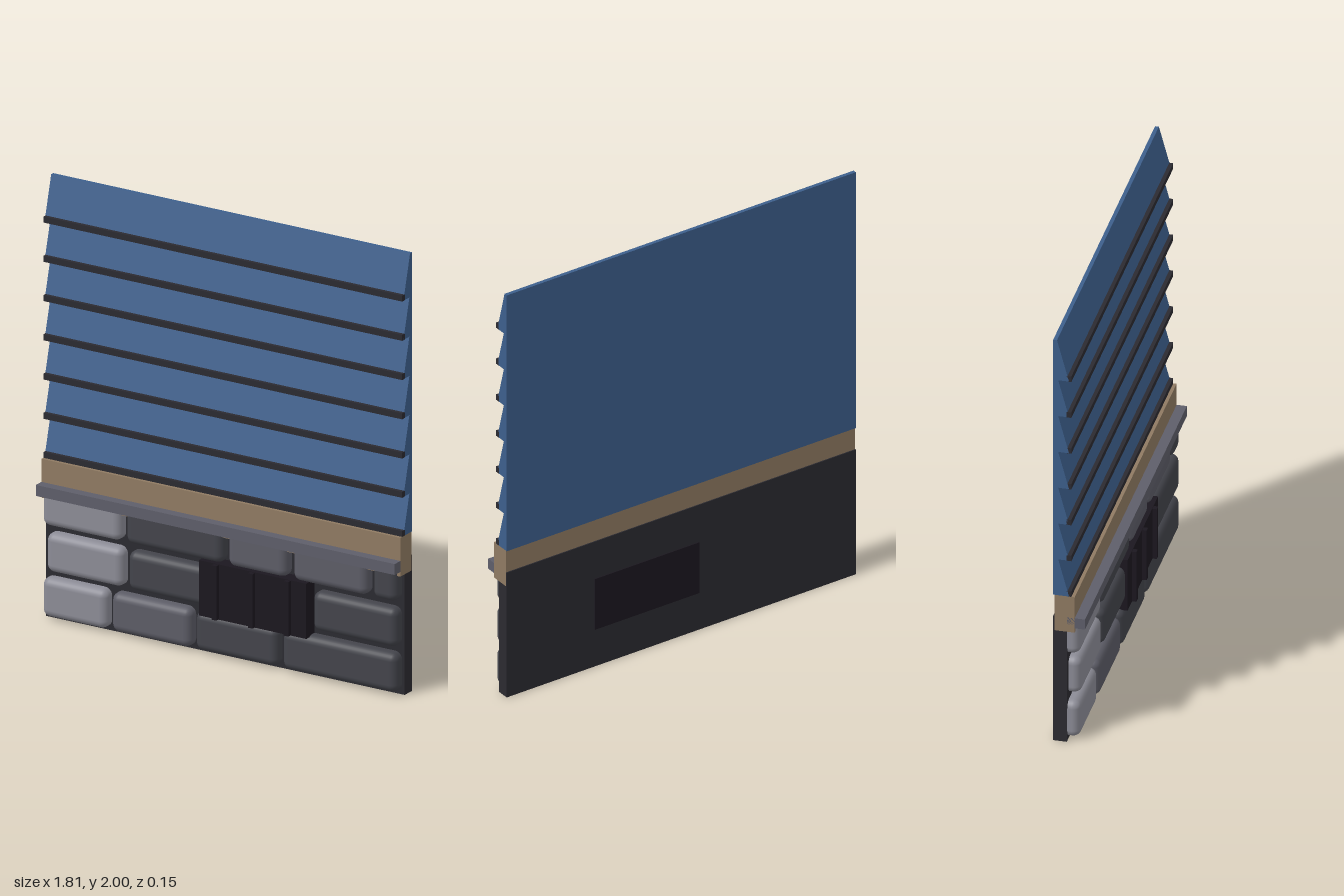
import * as THREE from 'three';
import { RoundedBoxGeometry } from 'three/addons/geometries/RoundedBoxGeometry.js';

const WIDTH = 1.81;

function paint(color) {
  const material = new THREE.MeshStandardMaterial();
  material.color.set(color);
  return material;
}

const blue = paint(0x3d5f8c);
const dark = paint(0x2b2a30);
const tan = paint(0x8f7a62);
const ledgeGrey = paint(0x5e5e6a);
const black = paint(0x1b171f);
const stoneShades = { light: paint(0x8c8c96), mid: paint(0x5c5c66), dark: paint(0x43444b) };

export function createModel() {
  const model = new THREE.Group();

  function add(parent, name, geometry, material) {
    const mesh = new THREE.Mesh(geometry, material);
    mesh.name = name;
    parent.add(mesh);
    return mesh;
  }

  // Box given by its limits on each axis
  function box(parent, name, material, [x0, x1], [y0, y1], [z0, z1]) {
    const mesh = add(parent, name, new THREE.BoxGeometry(x1 - x0, y1 - y0, z1 - z0), material);
    mesh.position.set((x0 + x1) / 2, (y0 + y1) / 2, (z0 + z1) / 2);
    return mesh;
  }

  const full = [-WIDTH / 2, WIDTH / 2];

  // Lap siding: a saw-tooth profile (shape x is -z) swept across the wall
  const boards = 7, first = 0.727, pitch = 0.179, top = 2;
  const backZ = -0.07, topZ = -0.053, lap = top - first - pitch * (boards - 1);
  const profile = new THREE.Shape();
  profile.moveTo(-backZ, first);
  for (let i = 0; i < boards; i++) {
    const y = first + i * pitch;
    const rise = i === boards - 1 ? lap : pitch;
    profile.lineTo(0, y);
    profile.lineTo(-topZ * rise / lap, y + rise);
  }
  profile.lineTo(-backZ, top);
  const siding = new THREE.ExtrudeGeometry(profile, { depth: WIDTH, bevelEnabled: false });
  siding.translate(0, 0, -WIDTH / 2);
  siding.rotateY(Math.PI / 2);
  add(model, 'siding', siding, blue);

  // Dark drip strip along the lower edge of every board
  const strips = new THREE.Group();
  strips.name = 'sidingStrips';
  model.add(strips);
  for (let i = 0; i < boards; i++) {
    const y = first + i * pitch;
    box(strips, 'sidingStrip', dark, full, [y - 0.001, y + 0.026], [-0.011, 0.01]);
  }

  // Timber band, sill ledge and foundation wall
  box(model, 'timberBand', tan, full, [0.55, 0.727], [-0.065, 0.025]);
  box(model, 'sillLedge', ledgeGrey, full, [0.572, 0.622], [-0.01, 0.07]);
  box(model, 'foundationWall', dark, full, [0, 0.62], [-0.07, -0.01]);

  // Stone courses: [left edge, right edge, shade]
  const courses = [
    { y: [0.015, 0.193], stones: [
      [-0.897, -0.57, 'light'], [-0.547, -0.146, 'mid'], [-0.124, 0.29, 'dark'], [0.315, 0.892, 'dark']] },
    { y: [0.222, 0.4], stones: [
      [-0.876, -0.49, 'light'], [-0.463, -0.05, 'dark'], [0.468, 0.892, 'dark']] },
    { y: [0.43, 0.605], stones: [
      [-0.897, -0.5, 'light'], [-0.474, 0.013, 'dark'], [0.04, 0.336, 'mid'],
      [0.368, 0.743, 'mid'], [0.77, 0.892, 'dark']] },
  ];
  const stonework = new THREE.Group();
  stonework.name = 'stonework';
  model.add(stonework);
  for (const { y: [y0, y1], stones } of courses) {
    for (const [x0, x1, shade] of stones) {
      const geometry = new RoundedBoxGeometry(x1 - x0, y1 - y0, 0.11, 3, 0.035);
      const stone = add(stonework, 'stone', geometry, stoneShades[shade]);
      stone.position.set((x0 + x1) / 2, (y0 + y1) / 2, -0.011);
    }
  }

  // Vent passing through the wall, with upright bars on its face
  const vent = new THREE.Group();
  vent.name = 'vent';
  model.add(vent);
  box(vent, 'ventBody', black, [-0.092, 0.45], [0.185, 0.437], [-0.075, 0.056]);
  for (const x of [-0.003, 0.18, 0.36]) {
    box(vent, 'ventBar', black, [x - 0.012, x + 0.012], [0.187, 0.435], [0.05, 0.076]);
  }

  return model;
}
